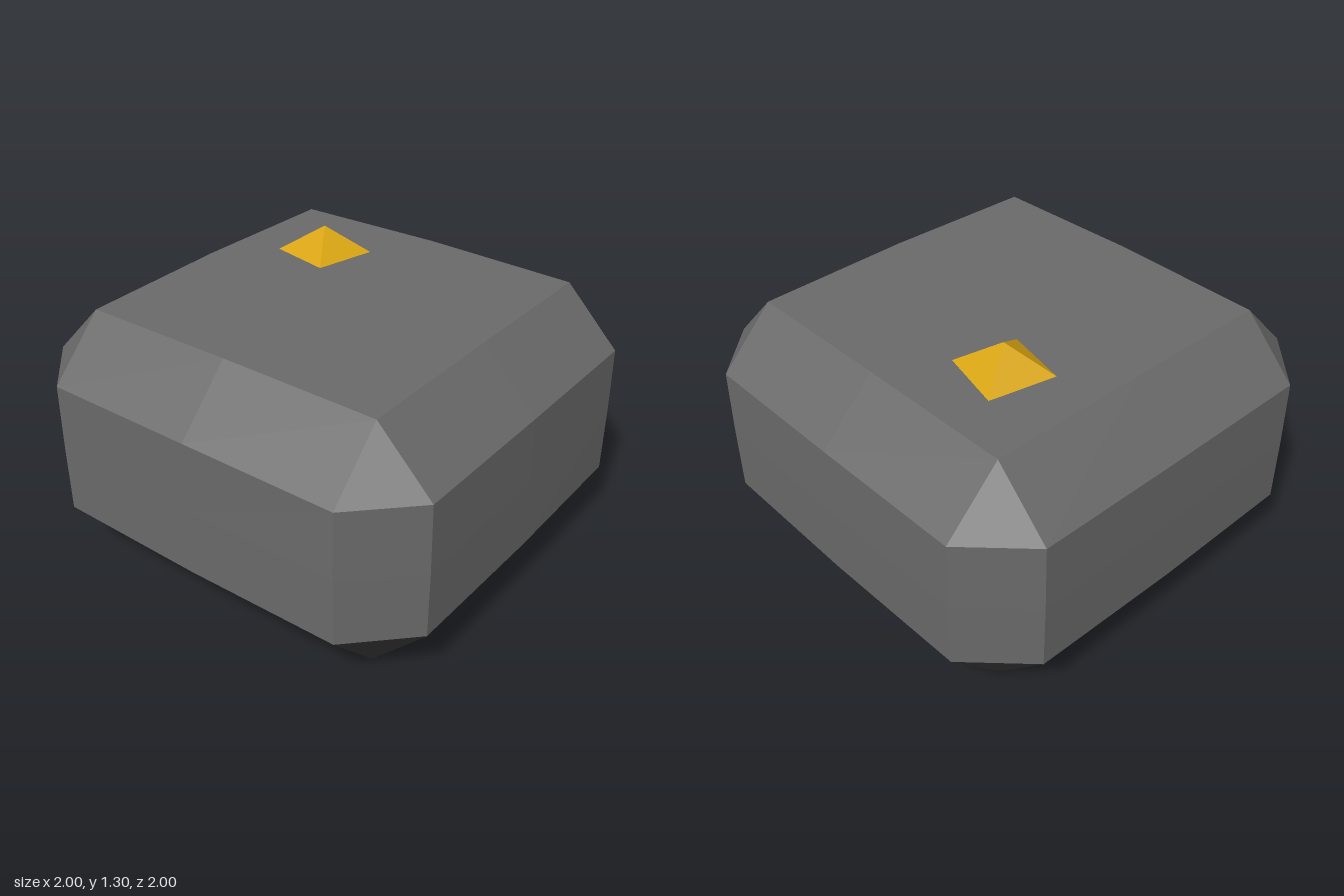
import * as THREE from 'three';

const stone = new THREE.MeshStandardMaterial({ name: 'stoneGrey', color: 0x6a6a6a });
const dark = new THREE.MeshStandardMaterial({ name: 'darkGrey', color: 0x3a3a3a });
const gold = new THREE.MeshStandardMaterial({ name: 'gold', color: 0xd9a510 });

const HALF = 0.735; // half width of each flat face

// Ring of 12 points: three per side, bulging slightly at the middle of each side
function ring([half, cornerR, midR, cornerY, midY]) {
  const points = [];
  for (let side = 0; side < 4; side++) {
    for (const k of [-1, 0, 1]) {
      const p = new THREE.Vector3(k * half, k ? cornerY : midY, k ? cornerR : midR);
      for (let s = 0; s < side; s++) p.set(p.z, p.y, -p.x);
      points.push(p);
    }
  }
  return points;
}

// Flat-shaded skin between rings listed from bottom to top, skipping collapsed triangles
function skin(name, rows, material) {
  const rings = rows.map(ring), pos = [];
  const tri = (a, b, c) => {
    if (new THREE.Triangle(a, b, c).getArea() > 1e-6) pos.push(...a, ...b, ...c);
  };
  for (let r = 0; r < rings.length - 1; r++) {
    for (let i = 0; i < 12; i++) {
      const j = (i + 1) % 12, lo = rings[r], hi = rings[r + 1];
      tri(lo[i], lo[j], hi[j]);
      tri(lo[i], hi[j], hi[i]);
    }
  }
  const geometry = new THREE.BufferGeometry();
  geometry.setAttribute('position', new THREE.Float32BufferAttribute(pos, 3));
  geometry.computeVertexNormals();
  const mesh = new THREE.Mesh(geometry, material);
  mesh.name = name;
  return mesh;
}

export function createModel() {
  const model = new THREE.Group();
  model.name = 'chamferedBlock';

  // Rows: half width, corner distance, middle distance, corner height, middle height
  const lowerEdge = [HALF, 0.992, 0.998, 0.283, 0.277];

  // Dark underside and lower bevels
  model.add(skin('base', [
    [0, 0, 0, 0, 0],
    [HALF, HALF, 0.741, 0.018, 0.008],
    lowerEdge,
  ], dark));

  // Grey walls, upper bevels and gently domed top
  model.add(skin('body', [
    lowerEdge,
    [HALF, 0.995, 1, 0.593, 0.593],
    [HALF, 0.992, 0.998, 0.905, 0.91],
    [HALF, HALF, 0.741, 1.167, 1.176],
    [0, 0, 0, 1.182, 1.182],
  ], stone));

  // Small four-sided gold stud on the top
  const geometry = new THREE.ConeGeometry(0.225, 0.13, 4).toNonIndexed();
  geometry.computeVertexNormals();
  const stud = new THREE.Mesh(geometry, gold);
  stud.name = 'stud';
  stud.position.set(-0.34, 1.235, -0.34);
  stud.rotation.y = THREE.MathUtils.degToRad(32);
  model.add(stud);

  return model;
}
